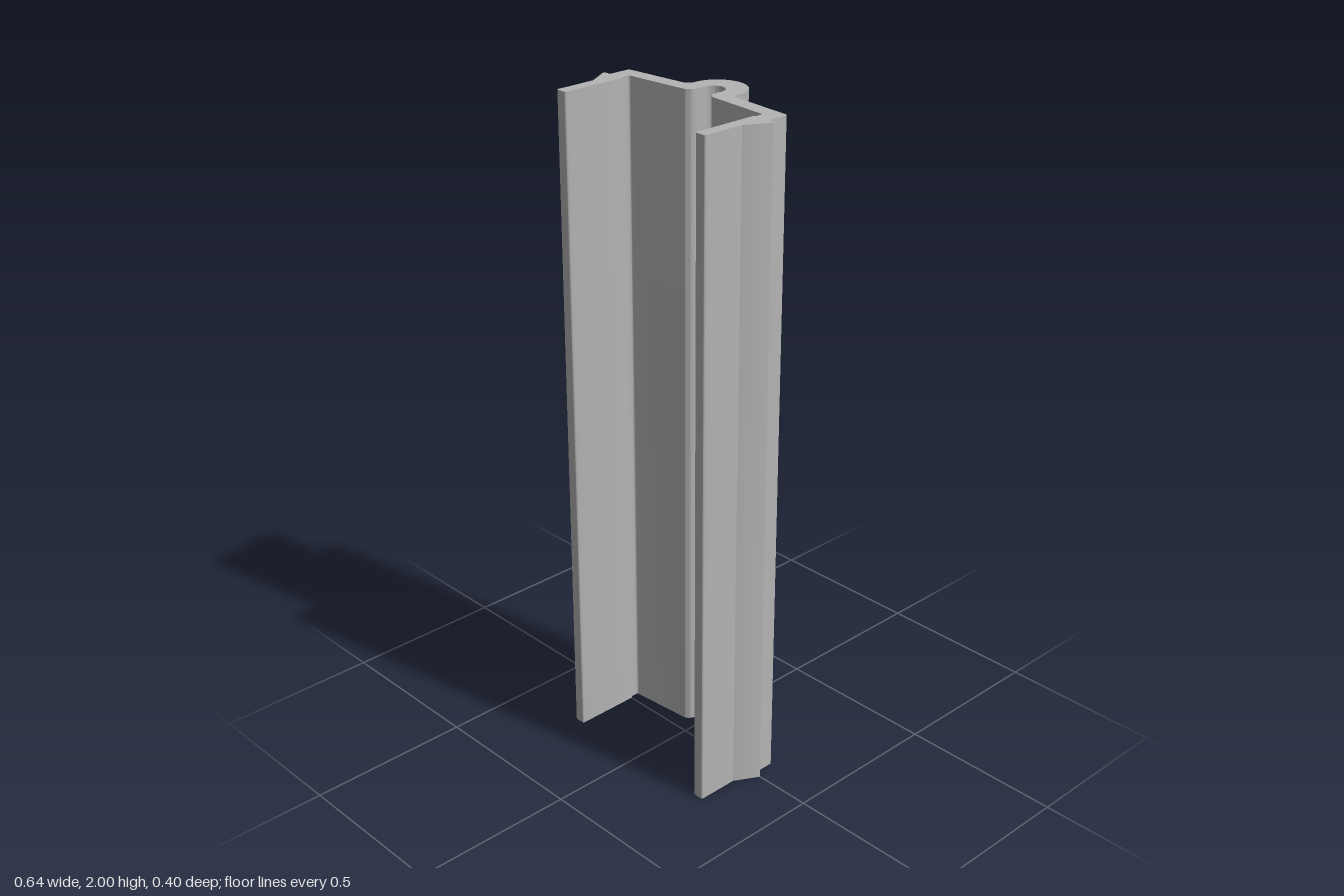
import * as THREE from 'three';
import { toCreasedNormals } from 'three/addons/utils/BufferGeometryUtils.js';

const LENGTH = 2;

// Points of a true arc that rounds corner b between a and c.
function fillet(a, b, c, r, steps = 8) {
  const u = a.clone().sub(b).normalize();
  const w = c.clone().sub(b).normalize();
  const half = Math.acos(u.dot(w)) / 2;
  const centre = u.clone().add(w).normalize().multiplyScalar(r / Math.sin(half)).add(b);
  const t = r / Math.tan(half);
  const start = u.multiplyScalar(t).add(b).sub(centre);
  const end = w.multiplyScalar(t).add(b).sub(centre);
  const a0 = start.angle();
  let sweep = end.angle() - a0;
  if (sweep > Math.PI) sweep -= 2 * Math.PI;
  if (sweep < -Math.PI) sweep += 2 * Math.PI;
  return Array.from({ length: steps + 1 }, (_, i) => {
    const q = a0 + (sweep * i) / steps;
    return new THREE.Vector2(centre.x + r * Math.cos(q), centre.y + r * Math.sin(q));
  });
}

// Quarter arc centred on x = 0, from the crown (90 degrees) down to the side.
function crown(y, r, steps = 18) {
  return Array.from({ length: steps + 1 }, (_, i) => {
    const q = (Math.PI / 2) * (1 - i / steps);
    return new THREE.Vector2(r * Math.cos(q), y + r * Math.sin(q));
  });
}

// Half of the section: x, depth towards the back, corner radius.
const corners = [
  [0.083, 0.1185, 0],
  [0.083, 0.0915, 0.026], // bulge meets the web
  [0.3, 0.0725, 0.006], // outer shoulder
  [0.3, 0.004, 0.007], // above the barb
  [0.326, 0.004, 0.005], // barb tip
  [0.283, -0.073, 0],
  [0.283, -0.2005, 0.006], // leg end
  [0.247, -0.2005, 0.006],
  [0.247, 0.003, 0.005], // step inside the leg
  [0.253, 0.007, 0.004],
  [0.253, 0.031, 0.007], // inner shoulder
  [0.033, 0.0495, 0.029], // web meets the groove
  [0.033, 0.103, 0],
];

function sectionShape() {
  const pts = corners.map(([x, y]) => new THREE.Vector2(x, y));
  const half = crown(0.1185, 0.083);
  for (let i = 1; i < pts.length - 1; i++) {
    const r = corners[i][2];
    if (r) half.push(...fillet(pts[i - 1], pts[i], pts[i + 1], r));
    else half.push(pts[i]);
  }
  half.push(...crown(0.103, 0.033).reverse());
  // Mirror, leaving out the two points on the centre line.
  const mirrored = half.slice(1, -1).reverse().map((p) => new THREE.Vector2(-p.x, p.y));
  return new THREE.Shape([...half, ...mirrored]);
}

export function createModel() {
  const group = new THREE.Group();
  group.name = 'clipProfile';
  const grey = new THREE.MeshStandardMaterial({ color: 0xb4b4b4 });
  grey.name = 'grey';

  // Constant section drawn out along the height.
  let geometry = new THREE.ExtrudeGeometry(sectionShape(), { depth: LENGTH, bevelEnabled: false });
  geometry.rotateX(-Math.PI / 2);
  geometry = toCreasedNormals(geometry, 0.45);

  const strip = new THREE.Mesh(geometry, grey);
  strip.name = 'extrudedStrip';
  group.add(strip);
  return group;
}
